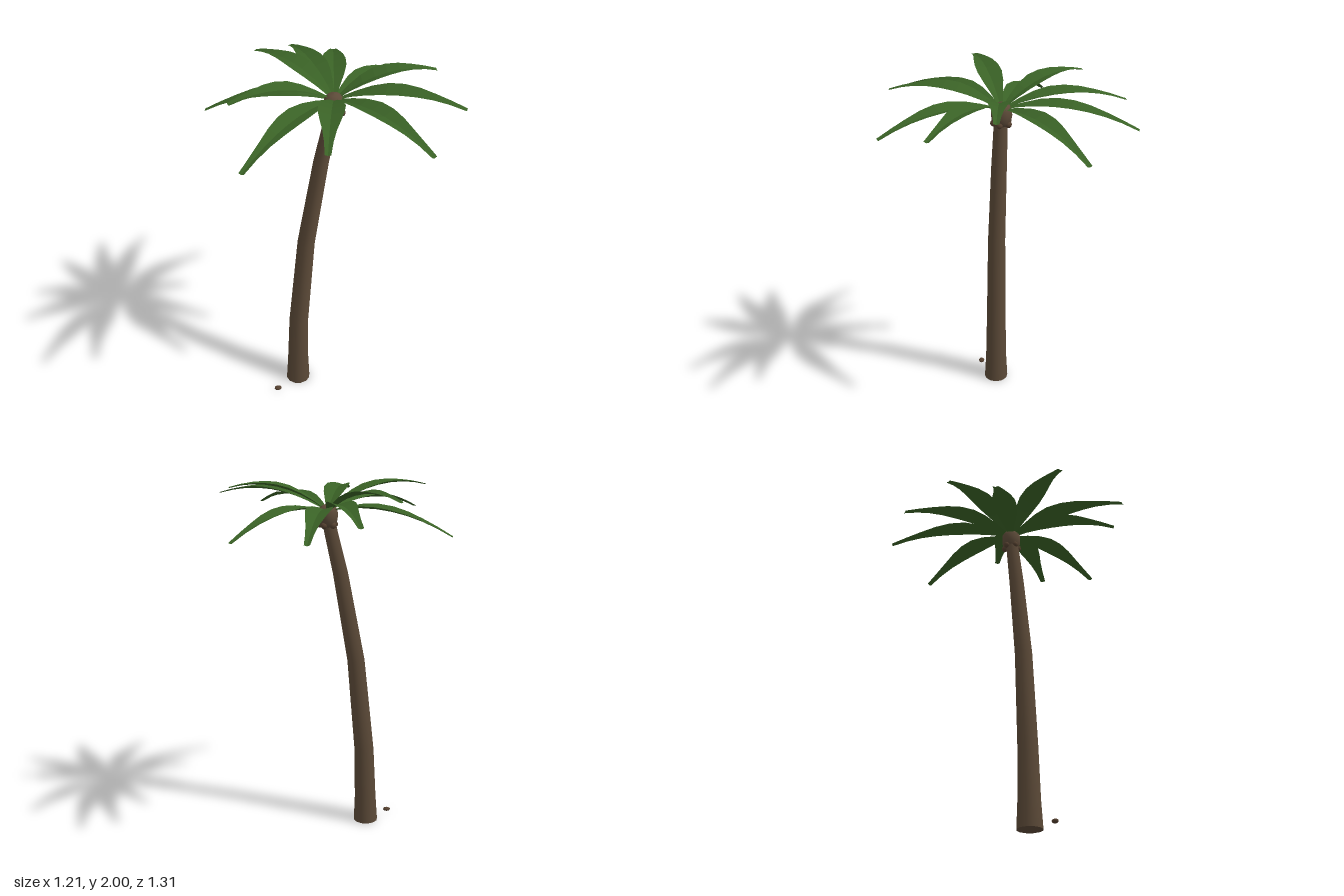
import * as THREE from 'three';

const bark = new THREE.MeshStandardMaterial({ color: 0x5c4a38 });
bark.name = 'bark brown';
const husk = new THREE.MeshStandardMaterial({ color: 0x54402f });
husk.name = 'husk brown';
const leaf = new THREE.MeshStandardMaterial({ color: 0x3a6226, side: THREE.DoubleSide, flatShading: true });
leaf.name = 'leaf green';

const CROWN = new THREE.Vector3(0.027, 1.85, 0.033);

function mesh(name, geometry, material) {
  const m = new THREE.Mesh(geometry, material);
  m.name = name;
  return m;
}

// Leaning trunk: a cylinder whose rings follow [y, x, z, radius] stations
function trunkGeometry() {
  const rings = [
    [0, -0.2, 0.065, 0.07], [0.15, -0.197, 0.064, 0.062], [0.45, -0.187, 0.062, 0.056],
    [1.0, -0.135, 0.058, 0.049], [1.5, -0.045, 0.045, 0.042], [1.8, 0.024, 0.036, 0.036],
  ];
  const n = rings.length - 1;
  const g = new THREE.CylinderGeometry(1, 1, 1, 12, n);
  const p = g.attributes.position;
  for (let i = 0; i < p.count; i++) {
    const [y, x, z, r] = rings[Math.round((p.getY(i) + 0.5) * n)];
    p.setXYZ(i, x + p.getX(i) * r, y, z + p.getZ(i) * r);
  }
  return g;
}

// Folded frond: V-shaped cross-sections swept along an arching midrib to its tip
const WIDTHS = [0.012, 0.034, 0.055, 0.067, 0.064, 0.051, 0.034, 0.022, 0.015];
function frondGeometry(tx, ty, tz) {
  const dx = tx - CROWN.x, dz = tz - CROWN.z, dy = ty - CROWN.y;
  const len = Math.hypot(dx, dz);
  const sx = -dz / len, sz = dx / len;
  const n = WIDTHS.length - 1, arch = 0.27;
  const pos = [], index = [];
  WIDTHS.forEach((w, i) => {
    const t = 0.03 + 0.97 * i / n;
    const half = w * (0.7 + 0.3 * Math.min(1, len / 0.6));
    const y = CROWN.y + (dy + arch) * t - arch * t * t;
    for (const s of [-1, 0, 1]) {
      pos.push(CROWN.x + dx * t + sx * half * s,
        y + (s ? half * 0.3 : 0) - 0.004,
        CROWN.z + dz * t + sz * half * s);
    }
    if (i < n) {
      for (const k of [0, 1]) {
        const a = i * 3 + k;
        index.push(a, a + 1, a + 3, a + 1, a + 4, a + 3);
      }
    }
  });
  const g = new THREE.BufferGeometry();
  g.setAttribute('position', new THREE.Float32BufferAttribute(pos, 3));
  g.setIndex(index);
  g.computeVertexNormals();
  return g;
}

export function createModel() {
  const model = new THREE.Group();
  model.name = 'palmTree';
  model.add(mesh('trunk', trunkGeometry(), bark));

  // Rounded crown knob where the fronds meet
  const profile = [[0, 1.757], [0.036, 1.763], [0.05, 1.785], [0.055, 1.815],
    [0.054, 1.848], [0.044, 1.867], [0.026, 1.88], [0, 1.885]];
  const knob = mesh('crownKnob',
    new THREE.LatheGeometry(profile.map(([r, y]) => new THREE.Vector2(r, y)), 12), bark);
  knob.position.set(CROWN.x, 0, CROWN.z);
  model.add(knob);

  // Coconuts hanging around the knob
  const nuts = new THREE.Group();
  nuts.name = 'coconuts';
  for (let i = 0; i < 5; i++) {
    const a = i * Math.PI * 2 / 5 + 0.3;
    const nut = mesh('coconut', new THREE.SphereGeometry(0.018, 8, 6), husk);
    nut.position.set(CROWN.x + Math.cos(a) * 0.042, 1.774, CROWN.z + Math.sin(a) * 0.042);
    nuts.add(nut);
  }
  model.add(nuts);

  // Fallen coconut on the ground
  const fallen = mesh('fallenCoconut', new THREE.SphereGeometry(0.022, 8, 6), husk);
  fallen.scale.set(1, 0.5, 0.8);
  fallen.position.set(-0.343, 0.012, 0.153);
  model.add(fallen);

  // Fronds, given by their tips
  const tips = [
    [-0.06, 1.86, -0.625], [0.2, 1.79, -0.655], [0.555, 1.755, -0.365], [0.55, 1.975, 0.077],
    [0.595, 1.91, 0.4], [0.35, 1.825, 0.645], [-0.155, 1.9, 0.62], [-0.54, 1.8, 0.525],
    [-0.53, 1.97, 0.17], [-0.6, 1.74, -0.22], [-0.29, 1.95, -0.42],
  ];
  const fronds = new THREE.Group();
  fronds.name = 'fronds';
  for (const tip of tips) fronds.add(mesh('frond', frondGeometry(...tip), leaf));
  model.add(fronds);
  return model;
}
